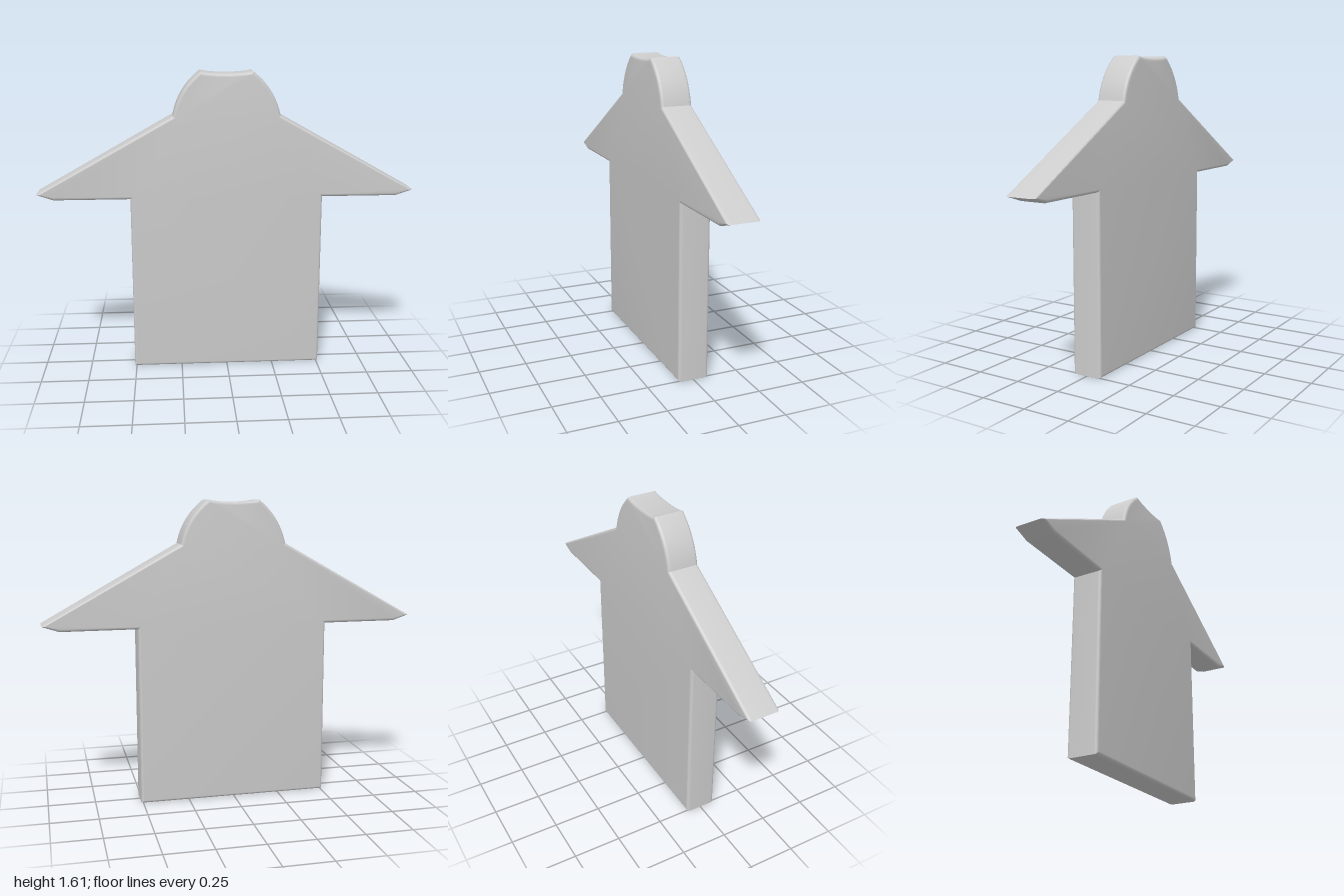
import * as THREE from 'three';
import { toCreasedNormals } from 'three/addons/utils/BufferGeometryUtils.js';

const DEPTH = 0.166;
const BEVEL = 0.016;

// Symmetric outline: body, eaves, sloping roof and domed top with a shallow dip
function outline() {
  const s = new THREE.Shape();
  s.moveTo(-0.51, 0);
  s.lineTo(0.51, 0);
  s.lineTo(0.51, 0.945);
  s.lineTo(0.91, 0.945);
  s.lineTo(1, 0.975);
  s.lineTo(0.28, 1.38);
  s.quadraticCurveTo(0.25, 1.52, 0.135, 1.608);
  s.bezierCurveTo(0.085, 1.592, -0.085, 1.592, -0.135, 1.608);
  s.quadraticCurveTo(-0.25, 1.52, -0.28, 1.38);
  s.lineTo(-1, 0.975);
  s.lineTo(-0.91, 0.945);
  s.lineTo(-0.51, 0.945);
  s.closePath();
  return s;
}

export function createModel() {
  const group = new THREE.Group();
  group.name = 'housePlaque';

  // Flat slab with softly rounded front and back edges
  const slab = new THREE.ExtrudeGeometry(outline(), {
    depth: DEPTH - 2 * BEVEL,
    bevelEnabled: true,
    bevelThickness: BEVEL,
    bevelSize: BEVEL,
    bevelOffset: -BEVEL,
    bevelSegments: 6,
    curveSegments: 14,
  });
  slab.translate(0, 0, BEVEL - DEPTH / 2);

  const mesh = new THREE.Mesh(
    toCreasedNormals(slab, 0.3),
    new THREE.MeshStandardMaterial({ color: 0xcccccc })
  );
  mesh.name = 'plaqueBody';
  group.add(mesh);
  return group;
}
